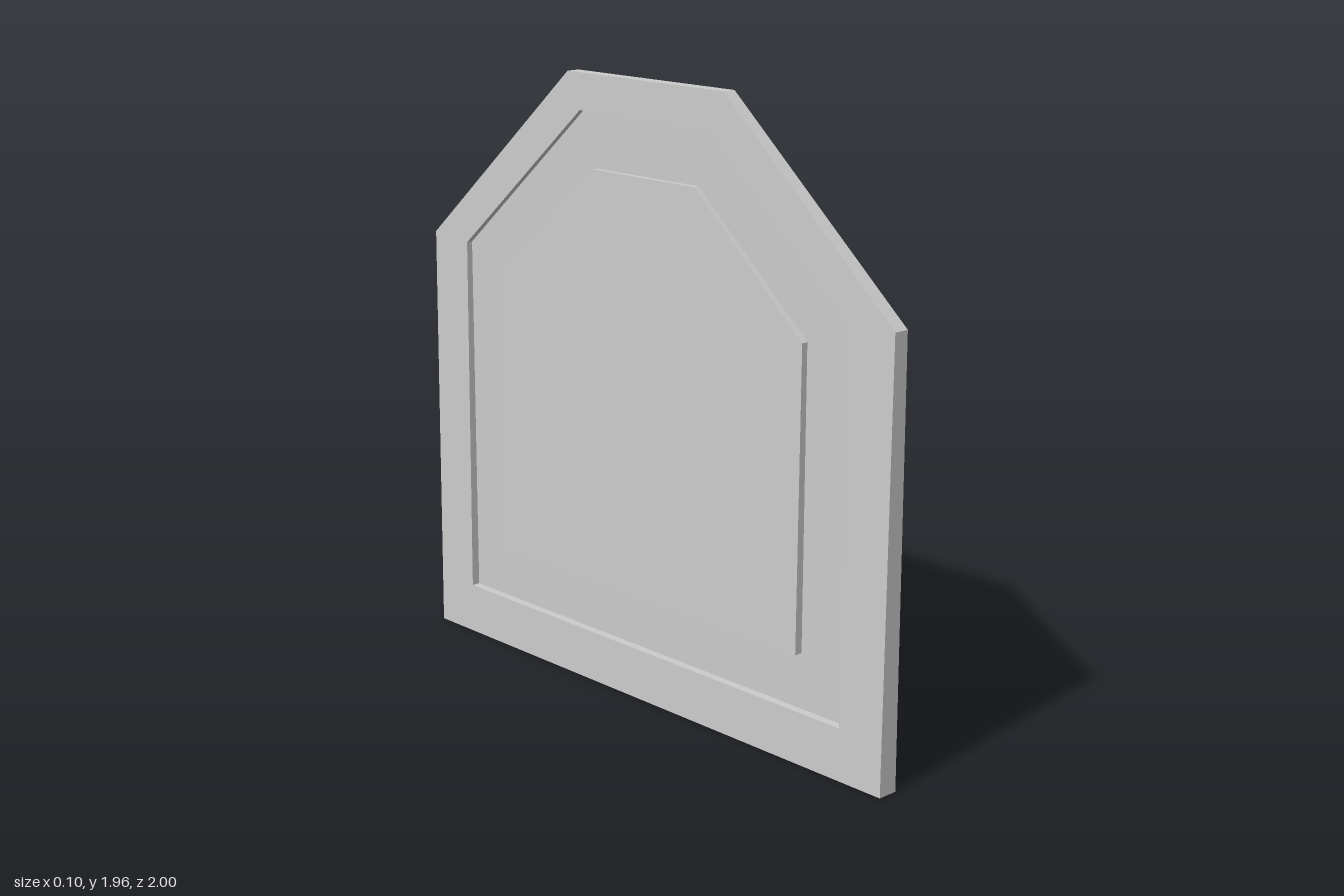
import * as THREE from 'three';

// Six-sided outline with clipped upper corners: half width, base, shoulder, half top width, top
function outline(w, base, shoulder, topW, top) {
  return [[-w, base], [w, base], [w, shoulder], [topW, top], [-topW, top], [-w, shoulder]]
    .map(([z, y]) => new THREE.Vector2(z, y));
}

const OUTER = outline(1, 0, 1.37, 0.335, 1.96);
const GROOVE = outline(0.837, 0.165, 1.355, 0.28, 1.845);
const INNER = outline(0.66, 0.34, 1.28, 0.22, 1.67);

const panelHalf = (y) => 0.0335 - 0.0058 * y; // thins toward the top
const webHalf = () => 0.005;
const SKEW = 0.0155; // slight turn of the whole slab

// Extruded slab standing in the z-y plane, its thickness set by height
function slab(name, points, half, hole) {
  const shape = new THREE.Shape(points);
  if (hole) shape.holes.push(new THREE.Path(hole));
  const geo = new THREE.ExtrudeGeometry(shape, { depth: 2, bevelEnabled: false });
  geo.translate(0, 0, -1).rotateY(-Math.PI / 2);
  const p = geo.attributes.position;
  for (let i = 0; i < p.count; i++) {
    p.setX(i, p.getX(i) * half(p.getY(i)) + SKEW * p.getZ(i));
  }
  geo.computeVertexNormals();
  const mesh = new THREE.Mesh(geo, new THREE.MeshStandardMaterial({ color: 0xcccccc, flatShading: true }));
  mesh.name = name;
  return mesh;
}

export function createModel() {
  const group = new THREE.Group();
  group.name = 'panel';
  group.add(
    slab('outerFrame', OUTER, panelHalf, GROOVE),
    slab('grooveFloor', GROOVE, webHalf), // thin web recessed on both sides
    slab('raisedCentre', INNER, panelHalf)
  );
  return group;
}
